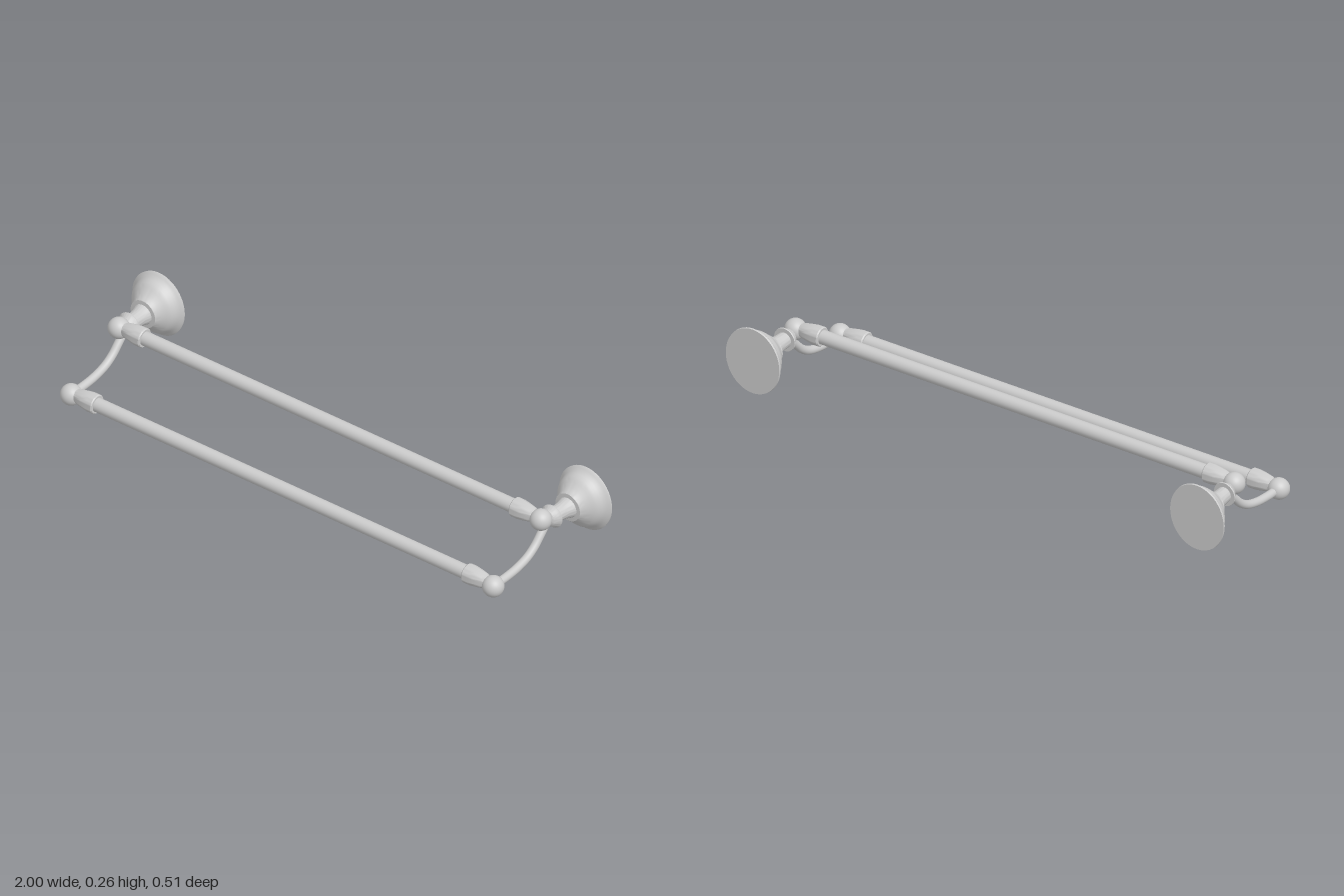
import * as THREE from 'three';
import { toCreasedNormals } from 'three/addons/utils/BufferGeometryUtils.js';

const material = new THREE.MeshStandardMaterial({ color: 0xcccccc });
const END_X = 0.882;
const UPPER = { y: 0.168, z: -0.03 };
const LOWER = { y: 0.037, z: 0.217 };

function part(name, geometry, x = 0, y = 0, z = 0) {
  const mesh = new THREE.Mesh(geometry, material);
  mesh.name = name;
  mesh.position.set(x, y, z);
  return mesh;
}

// Turned solid from [radius, height] pairs
function turned(profile) {
  return new THREE.LatheGeometry(profile.map(([r, h]) => new THREE.Vector2(r, h)), 48);
}

// Wall mount: turned along z, slightly narrow flange, axis leaning toward the bar's ball
function mountGeometry(side) {
  const geometry = turned([
    [0, -0.253], [0.118, -0.253], [0.119, -0.247], [0.113, -0.241], [0.104, -0.234],
    [0.1, -0.224], [0.094, -0.212], [0.087, -0.203], [0.08, -0.197], [0.068, -0.184],
    [0.059, -0.174], [0.054, -0.165], [0.051, -0.162], [0.037, -0.161], [0.034, -0.15],
    [0.03, -0.135], [0.028, -0.115], [0.027, -0.089], [0.041, -0.089], [0.042, -0.085],
    [0.036, -0.078], [0.029, -0.064], [0.022, -0.06], [0.02, -0.045], [0, -0.045],
  ]);
  geometry.rotateX(Math.PI / 2);
  const p = geometry.attributes.position;
  for (let i = 0; i < p.count; i++) {
    const x = p.getX(i), y = p.getY(i), z = p.getZ(i);
    const narrow = z < -0.165 ? 0.91 : 1;
    const t = z + 0.253;
    p.setXYZ(i, x * narrow + side * (0.893 - 0.055 * t), y + 0.1435 + 0.055 * t, z);
  }
  return toCreasedNormals(geometry, 0.6);
}

// Curved arm from the wall mount down and forward to the lower bar
function armGeometry() {
  const curve = new THREE.CatmullRomCurve3([
    [0.157, -0.068], [0.128, -0.046], [0.105, -0.024], [0.08, 0.002], [0.057, 0.04],
    [0.042, 0.095], [0.037, 0.15], [0.037, 0.21],
  ].map(([y, z]) => new THREE.Vector3(0, y, z)));
  return new THREE.TubeGeometry(curve, 48, 0.0145, 20);
}

// Ferrule that flares from the ball inward over the bar's end
function ferruleGeometry(side) {
  const geometry = turned([
    [0, -0.01], [0.021, -0.01], [0.022, 0.026], [0.026, 0.036], [0.031, 0.062],
    [0.034, 0.084], [0.034, 0.106], [0.031, 0.11], [0.022, 0.11],
  ]);
  geometry.rotateZ(side * Math.PI / 2);
  return toCreasedNormals(geometry, 0.6);
}

export function createModel() {
  const model = new THREE.Group();
  model.name = 'doubleTowelBar';

  for (const side of [1, -1]) {
    const bracket = new THREE.Group();
    bracket.name = side > 0 ? 'leftBracket' : 'rightBracket';
    bracket.add(part('wallMount', mountGeometry(side)));
    bracket.add(part('curvedArm', armGeometry(), side * END_X));
    model.add(bracket);
  }

  // Each rail: a bar, with a ball and a ferrule at both ends
  for (const [name, pos, lift] of [['upper', UPPER, 0.005], ['lower', LOWER, 0.006]]) {
    const rail = new THREE.Group();
    rail.name = name + 'Rail';
    const bar = new THREE.CylinderGeometry(0.0245, 0.0245, 1.6, 32).rotateZ(Math.PI / 2);
    rail.add(part('bar', bar, 0, pos.y + lift, pos.z));
    for (const side of [1, -1]) {
      rail.add(part('endBall', new THREE.SphereGeometry(0.037, 32, 24), side * END_X, pos.y, pos.z));
      rail.add(part('ferrule', ferruleGeometry(side), side * END_X, pos.y + lift, pos.z));
    }
    model.add(rail);
  }
  return model;
}
